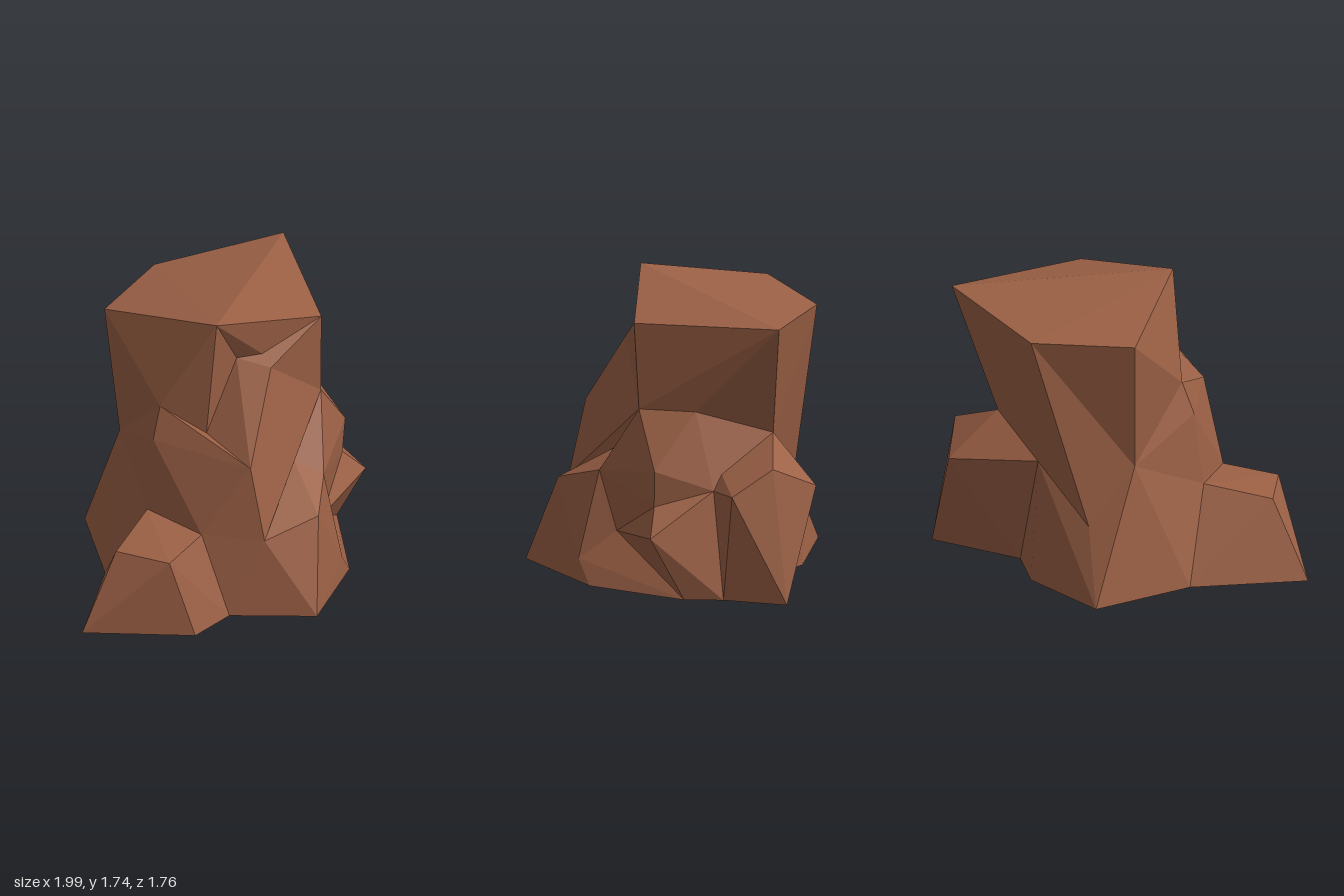
import * as THREE from 'three';
import { ConvexGeometry } from 'three/addons/geometries/ConvexGeometry.js';

const p = (x, y, z) => new THREE.Vector3(x, y, z);

// Corners shared by neighbouring chunks of rock
const peak = p(-0.06, 1.735, 0.27);
const crownEast = p(0.64, 1.585, 0.18);
const crownBack = p(0, 1.56, -0.78);
const crownWest = p(-0.48, 1.58, -0.40);
const eastWaist = p(0.65, 1.07, 0.15);
const eastNotch = p(0.68, 1.08, -0.19);
const backWaist = p(0.48, 0.92, -0.61);
const backLedge = p(0.13, 0.71, -0.61);
const backRidge = p(-0.29, 0.43, -0.59);
const westWaist = p(-0.41, 0.78, -0.34);
const westRib = p(-0.34, 1.16, 0.09);
const westBulge = p(-0.40, 0.97, 0.13);
const westJoint = p(-0.45, 0.53, 0.16);
const frontJoint = p(-0.25, 0.49, 0.49);
const frontFoot = p(-0.14, 0, 0.64);
const westFoot = p(-0.61, 0, -0.09);
const shelfTop = p(0.105, 1.43, 0.18);
const shelfRoot = p(-0.12, 1.02, 0.26);
const shelfEdge = p(0.27, 1.39, 0.30);
const shelfNose = p(0.02, 0.92, 0.58);
const shelfTip = p(0.07, 0.47, 0.67);
const shelfInner = p(0.40, 0.75, 0.34);
const brow = p(0.56, 0.66, 0.40);
const hollow = p(0.60, 0.31, 0.29);
const prow = p(0.31, 0.02, 0.88);
const shoulderTip = p(0.86, 0.76, 0.02);
const shoulderLow = p(0.84, 0.54, 0.025);
const toeFoot = p(0.885, 0, -0.16);
const eastKnee = p(0.63, 0.14, 0.51);
const cleftTop = p(0.60, 0.75, -0.30);
const cleftLow = p(0.76, 0.63, -0.31);
const cleftFoot = p(0.85, 0, -0.385);
const backNotch = p(0.34, 0, -0.56);
const core = p(0.1, 0.8, 0);

// Each chunk is a faceted convex stone; chunks interlock inside the rock
const chunks = {
  // overhanging column with a tilted flat top
  column: [
    peak, crownEast, p(0.78, 1.635, -0.70), crownBack, crownWest,
    eastWaist, eastNotch, backWaist, backLedge, westWaist, shelfTop,
  ],
  // rib on the right of the recess above the slab
  columnRib: [peak, crownWest, crownBack, westWaist, westRib, p(-0.14, 1.30, 0.23), shelfRoot, shelfTop],
  // tapering back of the column
  columnBack: [crownBack, westWaist, backRidge, backLedge, backWaist, core],
  // slanted slab leaning on the front of the column
  slab: [shelfTop, shelfRoot, shelfEdge, shelfNose, shelfTip, shelfInner, eastWaist, core],
  slabTop: [crownEast, shelfTop, shelfEdge, eastWaist, core],
  slabSide: [
    westRib, westBulge, shelfRoot, shelfNose, shelfTip, frontJoint, westJoint, westWaist, core,
  ],
  // wide front foot
  frontBase: [
    frontJoint, shelfTip, p(0.41, 0.56, 0.67), brow, shelfInner, prow,
    frontFoot, eastKnee, hollow, p(-0.2, 0, 0), p(0.4, 0, 0),
  ],
  // sloping shoulder under the waist on the left side
  shoulder: [
    eastWaist, shelfInner, brow, hollow, shoulderLow, shoulderTip, eastNotch,
    cleftTop, cleftLow, backWaist, p(0.1, 0.4, 0),
  ],
  // pointed stone jutting out on the left side
  toe: [
    hollow, shoulderLow, p(0.99, 0.39, 0.02), toeFoot, cleftLow, cleftFoot,
    p(0.3, 0.3, 0), p(0.2, 0, 0),
  ],
  toeBase: [hollow, eastKnee, prow, p(0.71, 0, 0.43), toeFoot, p(0.3, 0.3, 0.1), p(0.1, 0, -0.2)],
  // boulder at the back left corner
  backBoulder: [
    backWaist, p(0.79, 0.79, -0.665), p(0.60, 0.65, -0.885), backLedge, p(0.88, 0, -0.765),
    backNotch, cleftFoot, p(0.93, 0.65, -0.45), cleftLow, cleftTop, p(0.3, 0.7, -0.2), p(0.2, 0, -0.2),
  ],
  // flared back foot of the column
  backBase: [
    backLedge, backNotch, p(0.08, 0, -0.71), backRidge, p(-0.475, 0, -0.70), westFoot,
    westWaist, westJoint, p(0.3, 0, 0.1), p(0.2, 0.7, 0), p(-0.1, 0, 0.4),
  ],
  // low boulder on the right side
  sideBoulder: [
    p(-1, 0, 0.48), p(-0.76, 0.46, 0.42), p(-0.53, 0.46, 0.67), westJoint, frontJoint,
    p(-0.41, 0, 0.77), frontFoot, westFoot, p(0, 0, 0.1),
  ],
};

export function createModel() {
  const group = new THREE.Group();
  group.name = 'rockFormation';
  const stone = new THREE.MeshStandardMaterial({ color: 0x9b6045 });
  stone.name = 'redBrownStone';
  for (const [name, corners] of Object.entries(chunks)) {
    const mesh = new THREE.Mesh(new ConvexGeometry(corners), stone);
    mesh.name = name;
    group.add(mesh);
  }
  return group;
}
